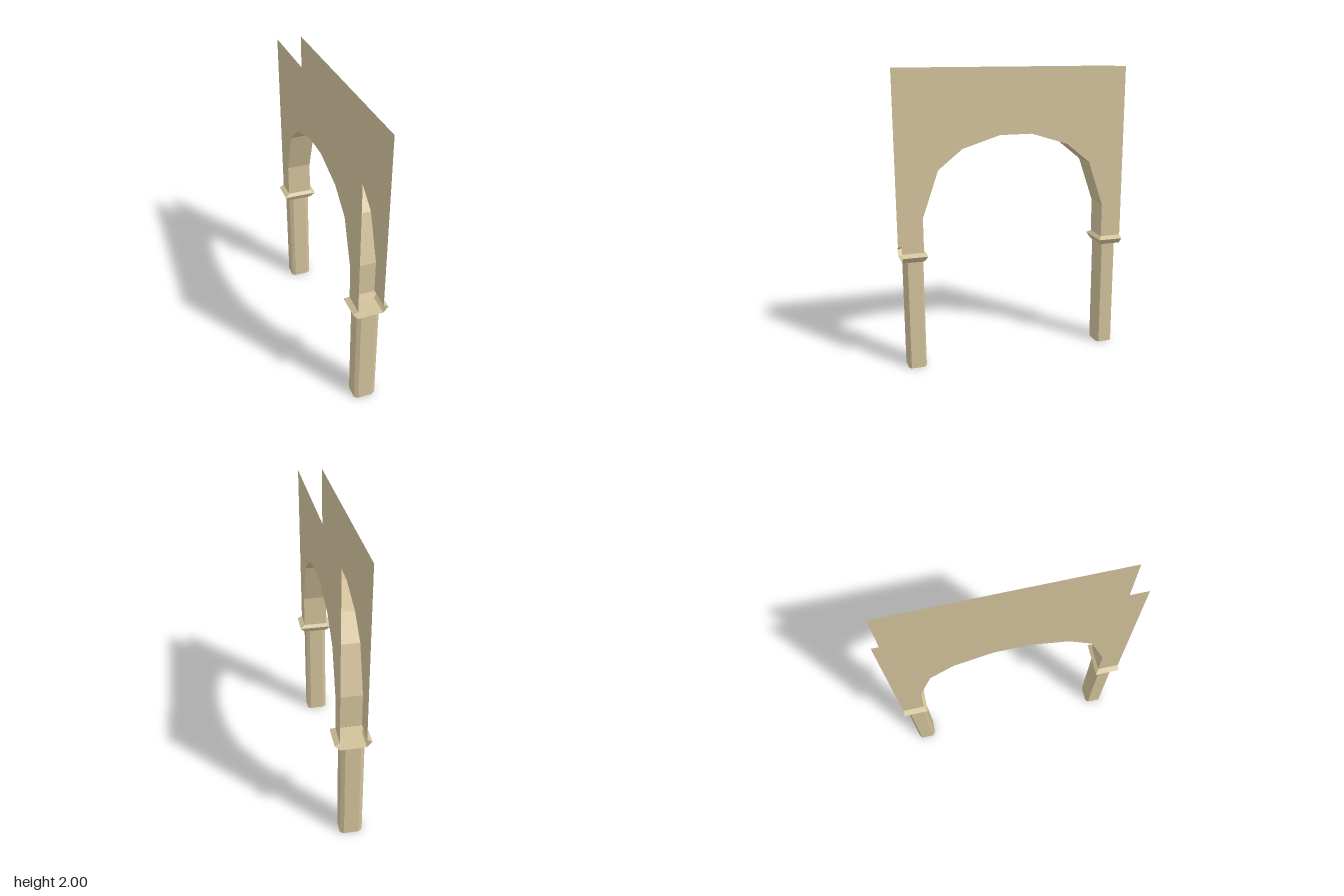
import * as THREE from 'three';

const HALF_W = 0.085;   // half thickness of the arch wall
const END_Z = 0.78;     // outer ends of the wall
const INNER_Z = 0.635;  // inner face of each pier
const SPRING_Y = 0.82;  // where the wall rests on the capitals

const stone = new THREE.MeshStandardMaterial({
  color: 0xd2c29b, flatShading: true, side: THREE.DoubleSide,
});

// Skin a list of equal-length cross-sections with flat quads
function loft(sections, closed = false) {
  const pos = [];
  const n = sections[0].length;
  for (let s = 0; s + 1 < sections.length; s++) {
    for (let i = 0; i < (closed ? n : n - 1); i++) {
      const j = (i + 1) % n;
      const a = sections[s][i], b = sections[s][j];
      const c = sections[s + 1][j], d = sections[s + 1][i];
      pos.push(...a, ...b, ...c, ...a, ...c, ...d);
    }
  }
  const g = new THREE.BufferGeometry();
  g.setAttribute('position', new THREE.Float32BufferAttribute(pos, 3));
  g.computeVertexNormals();
  return g;
}

function part(name, geometry) {
  const m = new THREE.Mesh(geometry, stone);
  m.name = name;
  return m;
}

// Arch curve as [z, y], from the +z springing over the crown to the -z one
function archCurve() {
  const half = [[INNER_Z, SPRING_Y], [INNER_Z, 1.05], [0.527, 1.36], [0.365, 1.49], [0.11, 1.57]];
  return [...half, ...half.map(([z, y]) => [-z, y]).reverse()];
}

// One pier: hollow chamfered column and a capital open at the outer end
function createPier(name) {
  const pier = new THREE.Group();
  pier.name = name;

  const hx = 0.075, hz = 0.0625, cx = 0.025, cz = 0.017;
  const outline = [
    [-hx + cx, hz], [hx - cx, hz], [hx, hz - cz], [hx, -hz + cz],
    [hx - cx, -hz], [-hx + cx, -hz], [-hx, -hz + cz], [-hx, hz - cz],
  ];
  const columnRing = (y) => outline.map(([x, z]) => [x - 0.004, y, z + 0.697]);
  pier.add(part('column', loft([columnRing(0), columnRing(0.76)], true)));

  const capRing = (w, y, z) => [[w, y, END_Z], [w, y, z], [-w, y, z], [-w, y, END_Z]];
  pier.add(part('capital', loft([
    capRing(HALF_W, 0.76, INNER_Z),
    capRing(0.118, 0.8, 0.613),
    capRing(HALF_W, SPRING_Y, INNER_Z),
  ])));

  const bed = new THREE.PlaneGeometry(2 * HALF_W, END_Z - INNER_Z).rotateX(Math.PI / 2);
  bed.translate(0, 0.76, (END_Z + INNER_Z) / 2);
  pier.add(part('capitalBed', bed));
  return pier;
}

export function createModel() {
  const model = new THREE.Group();
  model.name = 'archway';
  const curve = archCurve();

  // Side walls with the arch cut out; top and ends stay open
  const wall = new THREE.Shape([
    [END_Z, SPRING_Y], [END_Z, 2], [-END_Z, 2], [-END_Z, SPRING_Y], ...[...curve].reverse(),
  ].map(([z, y]) => new THREE.Vector2(z, y)));
  for (const side of [1, -1]) {
    const g = new THREE.ShapeGeometry(wall).rotateY(side * Math.PI / 2);
    g.translate(side * HALF_W, 0, 0);
    model.add(part(side > 0 ? 'leftWall' : 'rightWall', g));
  }

  // Underside of the arch
  model.add(part('archUnderside', loft(
    [-HALF_W, HALF_W].map((x) => curve.map(([z, y]) => [x, y, z])))));

  // Front pier and its mirror image at the back
  const back = createPier('backPier');
  back.scale.z = -1;
  model.add(createPier('frontPier'), back);
  return model;
}
